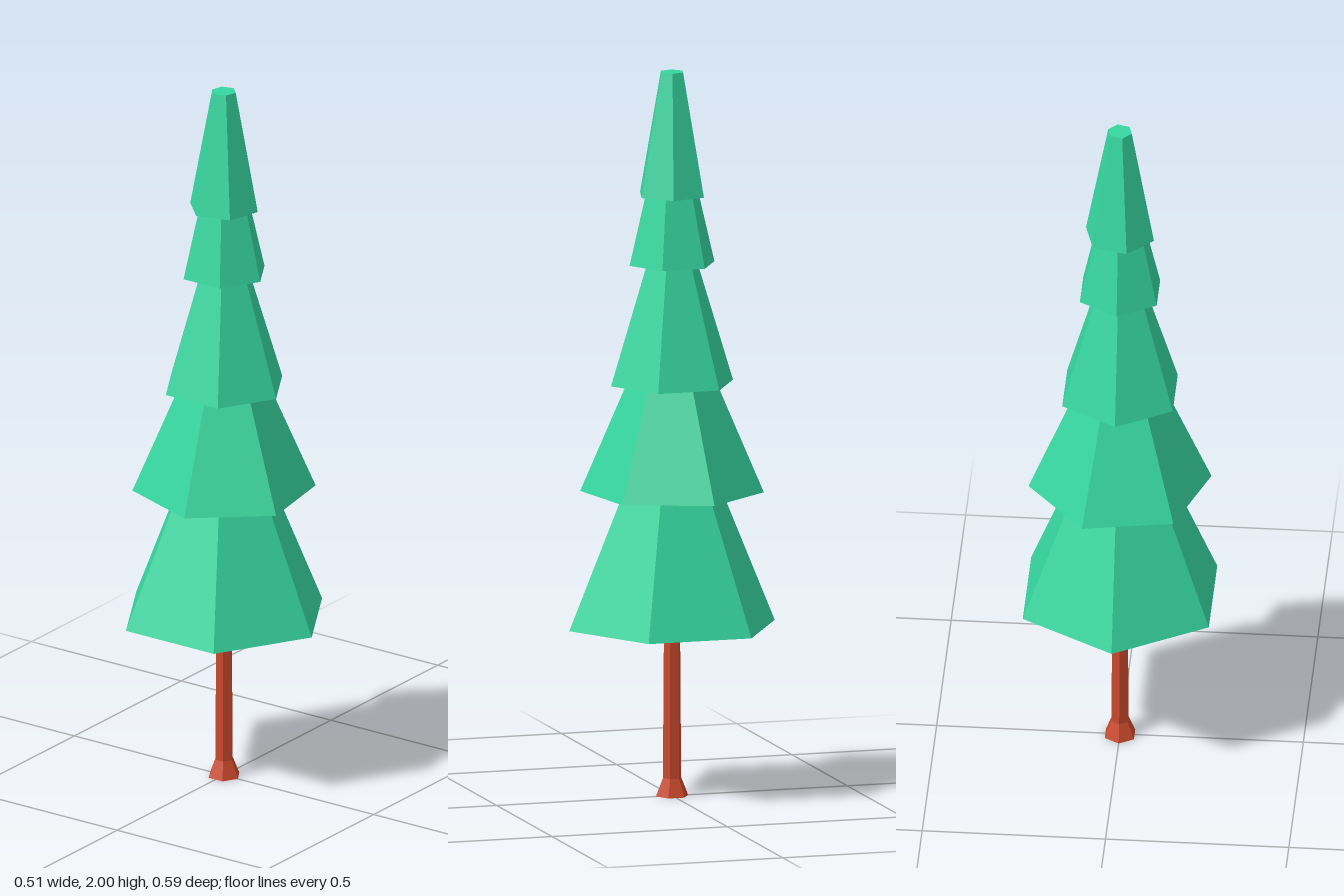
import * as THREE from 'three';

const SIDES = 6;

export function createModel() {
  const tree = new THREE.Group();
  tree.name = 'pineTree';

  const leaf = new THREE.MeshStandardMaterial({ color: 0x36d6a0, flatShading: true });
  const bark = new THREE.MeshStandardMaterial({ color: 0xc9492c, flatShading: true });

  // Six-sided frustum between two heights, turned about the vertical axis
  function frustum(name, material, y0, y1, r0, r1, turn = 0, open = false) {
    const geometry = new THREE.CylinderGeometry(r1, r0, y1 - y0, SIDES, 1, open);
    const mesh = new THREE.Mesh(geometry, material);
    mesh.name = name;
    mesh.position.y = (y0 + y1) / 2;
    mesh.rotation.y = THREE.MathUtils.degToRad(turn);
    tree.add(mesh);
  }

  // Trunk: flared foot and closed base in one profile
  const profile = [[0, 0], [0.046, 0], [0.026, 0.05], [0.023, 0.47]];
  const trunk = new THREE.Mesh(
    new THREE.LatheGeometry(profile.map(([r, y]) => new THREE.Vector2(r, y)), SIDES),
    bark
  );
  trunk.name = 'trunk';
  tree.add(trunk);

  // Foliage tiers: bottom y, top y, bottom radius, top radius, turn in degrees
  const tiers = [
    [0.47, 0.84, 0.293, 0.14, 0],
    [0.84, 1.14, 0.25, 0.122, 40],
    [1.14, 1.47, 0.174, 0.072, 0],
    [1.47, 1.66, 0.121, 0.076, 0],
    [1.66, 2.0, 0.098, 0.034, 15],
  ];
  tiers.forEach((tier, i) => {
    const [y0, y1, r0, r1, turn] = tier;
    frustum(`foliageTier${i + 1}`, leaf, y0, y1, r0, r1, turn);
  });

  return tree;
}
